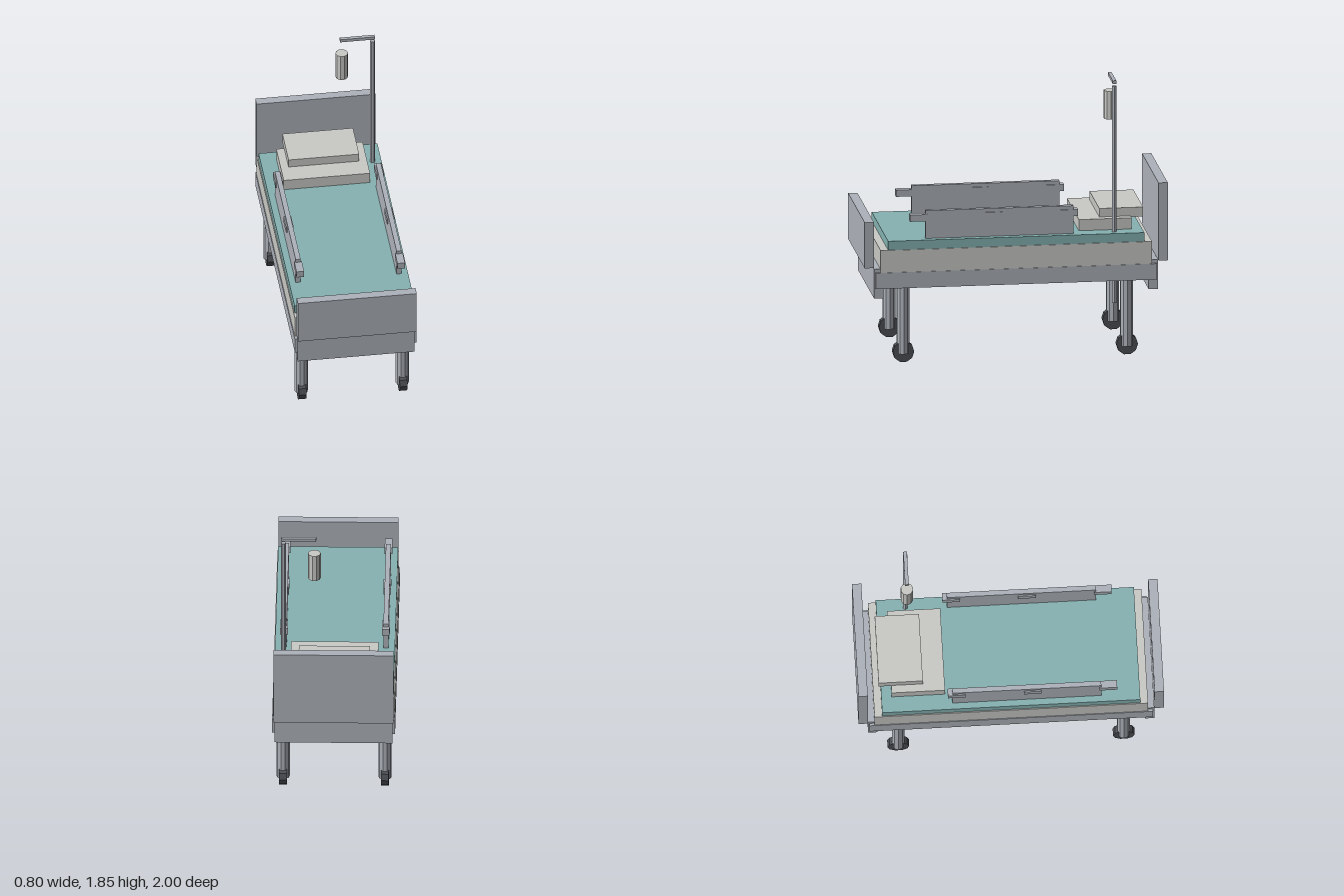
import * as THREE from 'three';

export function createModel() {
  const group = new THREE.Group();
  const mat = (name, color) => {
    const m = new THREE.MeshStandardMaterial({ color });
    m.name = name;
    m.flatShading = true;
    return m;
  };
  const metal = mat('metalGrey', 0xadb2ba);
  const linen = mat('linen', 0xc9c9c6);
  const teal = mat('tealBlanket', 0x86b2b2);
  const rubber = mat('darkRubber', 0x4c4f54);

  const add = (name, geometry, material, x, y, z) => {
    const mesh = new THREE.Mesh(geometry, material);
    mesh.name = name;
    mesh.position.set(x, y, z);
    group.add(mesh);
    return mesh;
  };
  // Box from its extents along each axis
  const box = (name, material, [x0, x1], [y0, y1], [z0, z1]) =>
    add(name, new THREE.BoxGeometry(x1 - x0, y1 - y0, z1 - z0), material,
      (x0 + x1) / 2, (y0 + y1) / 2, (z0 + z1) / 2);
  // Upright faceted cylinder with corners pointing along x
  const post = (name, material, r, sides, x, y0, y1, z) =>
    add(name, new THREE.CylinderGeometry(r, r, y1 - y0, sides).rotateY(Math.PI / 2),
      material, x, (y0 + y1) / 2, z);

  // Bed base and bedding
  box('bedFrame', metal, [-0.402, 0.402], [0.508, 0.615], [-0.928, 0.928]);
  box('mattress', linen, [-0.398, 0.398], [0.615, 0.765], [-0.895, 0.895]);
  box('blanket', teal, [-0.392, 0.392], [0.765, 0.825], [-0.845, 0.845]);
  box('lowerPillow', linen, [-0.285, 0.285], [0.825, 0.9], [-0.777, -0.428]);
  box('upperPillow', linen, [-0.233, 0.233], [0.893, 0.957], [-0.86, -0.57]);

  // End boards and the cross panels beneath them
  box('headboard', metal, [-0.392, 0.392], [0.633, 1.157], [-1, -0.939]);
  box('footboard', metal, [-0.392, 0.392], [0.648, 0.957], [0.939, 1]);
  for (const s of [-1, 1]) {
    const z = [s * 0.937, s * 0.875].sort((a, b) => a - b);
    box('endPanel', metal, [-0.385, 0.385], [0.44, 0.638], z);
  }

  for (const s of [-1, 1]) {
    const x = s * 0.333;
    // Side rail with its three grips
    box('sideRail', metal, [x - 0.0165, x + 0.0165], [0.82, 1.012], [-0.383, 0.592]);
    for (const z of [-0.355, 0.142, 0.638]) {
      box('railGrip', metal, [x - 0.025, x + 0.025], [0.943, 0.988], [z - 0.058, z + 0.058]);
    }
    // Legs and casters
    for (const z of [-0.737, 0.739]) {
      post('leg', metal, 0.0435, 10, x, 0.055, 0.51, z);
      const wheel = new THREE.CylinderGeometry(0.071, 0.071, 0.05, 10).rotateZ(Math.PI / 2);
      add('casterWheel', wheel, rubber, x, 0.0675, z);
    }
  }

  // Drip stand: pole, arm and fluid bag
  post('dripPole', metal, 0.0168, 6, 0.333, 0.345, 1.807, -0.655);
  box('dripArm', metal, [0.118, 0.348], [1.824, 1.845], [-0.667, -0.643]);
  post('dripBag', linen, 0.0415, 10, 0.13, 1.538, 1.728, -0.655);

  return group;
}
